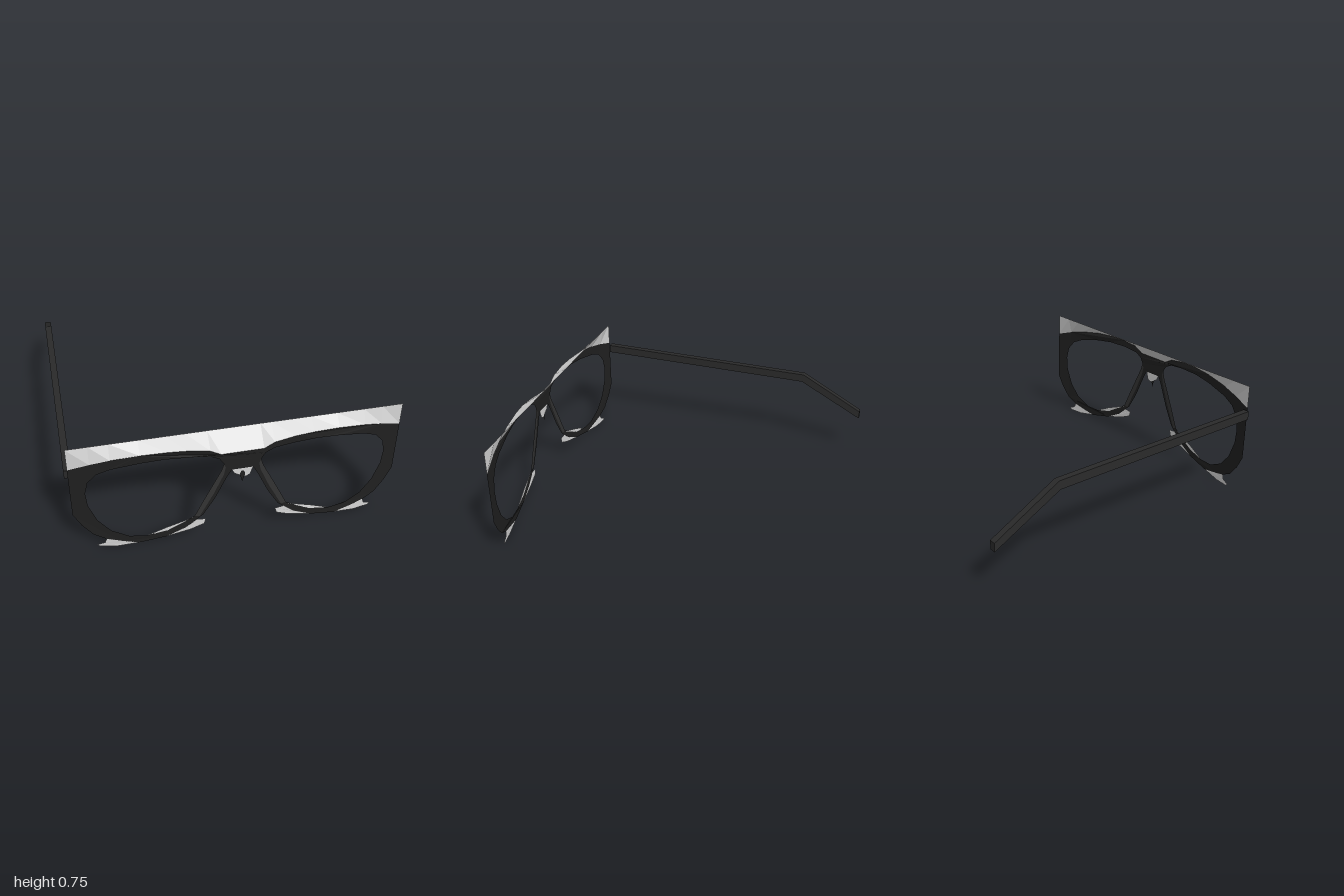
import * as THREE from 'three';

const mat = (name, color, side = THREE.DoubleSide) => {
  const m = new THREE.MeshStandardMaterial({ color, side, flatShading: true });
  m.name = name;
  return m;
};

// Outline points of the left half (negative x), mirrored for the other half
const topEdge = [[-0.95, 0.605], [-0.83, 0.643], [-0.72, 0.67], [-0.56, 0.695], [-0.41, 0.705],
  [-0.3, 0.703], [-0.18, 0.685], [-0.12, 0.652]];
const lowerEdge = [[-0.06, 0.53], [-0.085, 0.485], [-0.155, 0.325], [-0.22, 0.21], [-0.32, 0.12],
  [-0.435, 0.06], [-0.59, 0.025], [-0.69, 0.045], [-0.77, 0.065], [-0.845, 0.105], [-0.905, 0.18], [-0.95, 0.265]];
const lensEdge = [[-0.27, 0.205], [-0.335, 0.162], [-0.425, 0.11], [-0.54, 0.08], [-0.645, 0.084],
  [-0.745, 0.135], [-0.815, 0.22], [-0.86, 0.335], [-0.868, 0.43], [-0.85, 0.51], [-0.8, 0.57],
  [-0.72, 0.605], [-0.56, 0.64], [-0.43, 0.656], [-0.285, 0.656], [-0.18, 0.645], [-0.13, 0.62], [-0.105, 0.58]];
const noseInner = [[-0.105, 0.58], [-0.12, 0.53], [-0.205, 0.35], [-0.27, 0.205]];
const noseOuter = [[-0.24, 0.2], [-0.16, 0.365], [-0.105, 0.5], [-0.095, 0.55]];

const flip = (pts) => pts.map(([x, y]) => [-x, y]).reverse();
const toVectors = (pts) => pts.map(([x, y]) => new THREE.Vector2(x, y));
const bowZ = (x) => 1 - 0.1 * (x / 0.95) ** 2;

// Flat sheet bent along the bow of the front
function sheet(name, outline, material, holes = [], offset = 0) {
  const shape = new THREE.Shape(toVectors(outline));
  holes.forEach((h) => shape.holes.push(new THREE.Path(toVectors(h))));
  const geo = new THREE.ShapeGeometry(shape);
  const p = geo.attributes.position;
  for (let i = 0; i < p.count; i++) p.setZ(i, bowZ(p.getX(i)) + offset);
  geo.computeVertexNormals();
  const mesh = new THREE.Mesh(geo, material);
  mesh.name = name;
  return mesh;
}

// Ruled surface from the bowed top of the rim back to a straight edge
function browPlate(material) {
  const pts = [...topEdge, ...flip(topEdge)];
  const pos = [], index = [];
  pts.forEach(([x, y], i) => {
    pos.push(x, y, bowZ(x), x, 0.75, 0.9);
    if (i) {
      const a = 2 * i - 2;
      index.push(a, a + 2, a + 1, a + 1, a + 2, a + 3);
    }
  });
  const geo = new THREE.BufferGeometry();
  geo.setAttribute('position', new THREE.Float32BufferAttribute(pos, 3));
  geo.setIndex(index);
  geo.computeVertexNormals();
  const mesh = new THREE.Mesh(geo, material);
  mesh.name = 'browPlate';
  return mesh;
}

export function createModel() {
  const model = new THREE.Group();
  model.name = 'glasses';
  const black = mat('rim black', 0x202020);
  const charcoal = mat('nose charcoal', 0x333333);
  const grey = mat('light grey', 0xd6d6d6);
  const armBlack = mat('arm black', 0x2a2a2a, THREE.FrontSide);

  // Front frame with both lens openings
  const front = new THREE.Group();
  front.name = 'frontFrame';
  front.position.x = 0.005;
  const opening = [...noseOuter.slice().reverse(), ...lensEdge];
  const outline = [...topEdge, ...flip(topEdge), ...flip(lowerEdge), ...lowerEdge];
  front.add(sheet('rim', outline, black, [opening, flip(opening)]));
  front.add(browPlate(grey));

  // Nose strips and the ragged pale plates under each lens
  const nose = [...noseInner, ...noseOuter];
  const outerPlate = [[-0.83, 0.02], [-0.785, 0.038], [-0.775, 0.068], [-0.69, 0.046], [-0.59, 0.026], [-0.72, 0.004], [-0.815, 0.006]];
  const innerPlate = [[-0.435, 0.06], [-0.32, 0.12], [-0.255, 0.178], [-0.205, 0.172], [-0.215, 0.135], [-0.295, 0.1]];
  const sliver = [[-0.545, 0.08], [-0.43, 0.135], [-0.275, 0.195], [-0.335, 0.16], [-0.425, 0.108]];
  for (const [side, place] of [['right', (p) => p], ['left', flip]]) {
    front.add(sheet(side + 'NoseStrip', place(nose), charcoal));
    front.add(sheet(side + 'OuterLowerPlate', place(outerPlate), grey));
    front.add(sheet(side + 'InnerLowerPlate', place(innerPlate), grey));
    front.add(sheet(side + 'LensSliver', place(sliver), grey));
  }

  // Small plate and point below the bridge
  front.add(sheet('bridgePlate', [[-0.06, 0.53], [-0.045, 0.5], [-0.02, 0.485], [0.02, 0.465], [0.045, 0.48], [0.06, 0.53]], grey));
  front.add(sheet('bridgePoint', [[0, 0.435], [0.016, 0.49], [0.008, 0.515], [-0.008, 0.515], [-0.016, 0.49]], black, [], 0.004));
  model.add(front);

  // Single bent side arm, on the right only
  const side = new THREE.Shape(toVectors([[0.89, 0.54], [0.89, 0.594], [-0.585, 0.566],
    [-1, 0.336], [-1, 0.283], [-0.575, 0.512]]));
  const arm = new THREE.Mesh(new THREE.ExtrudeGeometry(side, { depth: 0.04, bevelEnabled: false }), armBlack);
  arm.geometry.rotateY(-Math.PI / 2).translate(-0.925, 0, 0);
  arm.name = 'sideArm';
  model.add(arm);
  return model;
}
